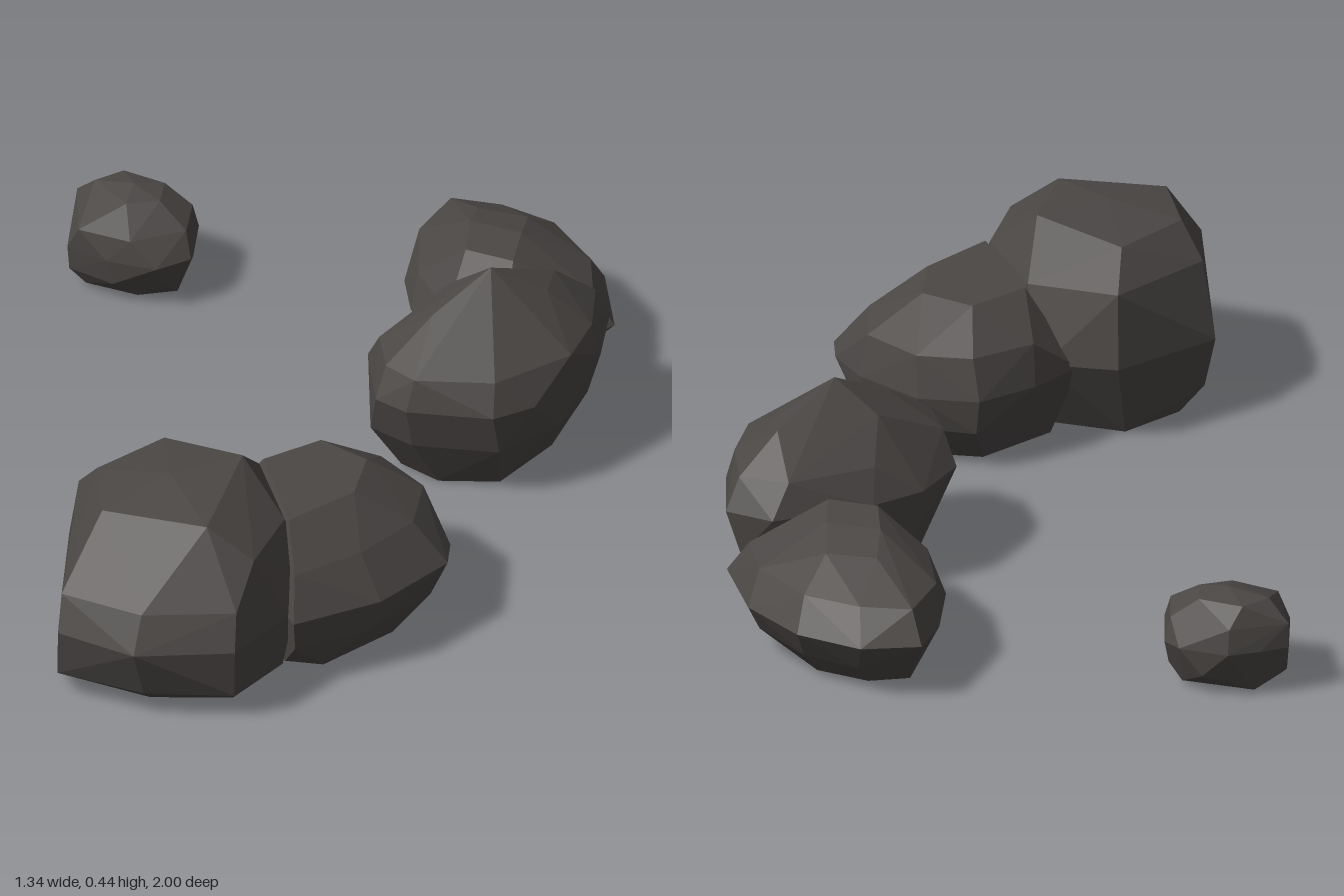
import * as THREE from 'three';
import { ConvexGeometry } from 'three/addons/geometries/ConvexGeometry.js';

const stone = new THREE.MeshStandardMaterial({ color: 0x4b4745, flatShading: true });
stone.name = 'darkStone';

// A faceted boulder: the hull of horizontal rings, each [height, x, z, x, z, ...]
function boulder(name, rings) {
  const points = [];
  for (const [y, ...xz] of rings) {
    for (let i = 0; i < xz.length; i += 2) points.push(new THREE.Vector3(xz[i], y, xz[i + 1]));
  }
  const mesh = new THREE.Mesh(new ConvexGeometry(points), stone);
  mesh.name = name;
  return mesh;
}

export function createModel() {
  const group = new THREE.Group();
  group.name = 'boulders';

  // Largest boulder, with a broad flat facet on its right
  group.add(boulder('frontBoulder', [
    [0, -0.03, 0.72, 0, 0.86, 0.2, 0.87, 0.36, 0.8, 0.38, 0.6, 0.25, 0.47, 0.05, 0.47, -0.03, 0.6],
    [0.06, 0.02, 0.95, 0.22, 0.95, 0.4, 0.88, 0.44, 0.72, -0.08, 0.62],
    [0.18, 0.035, 0.98, 0.22, 1, 0.41, 0.9, 0.45, 0.72, -0.11, 0.6, 0.04, 0.39, 0.2, 0.37, 0.4, 0.52],
    [0.26, 0.03, 0.95, 0.22, 0.96, 0.4, 0.87, 0.43, 0.66],
    [0.34, -0.07, 0.64, 0.05, 0.42, 0.25, 0.42, 0.4, 0.78, 0.39, 0.6],
    [0.41, -0.01, 0.68, 0.07, 0.83, 0.3, 0.8, 0.07, 0.51],
    [0.44, 0.16, 0.68, 0.27, 0.55],
  ]));

  // Lower boulder leaning against it
  group.add(boulder('sideBoulder', [
    [0, 0.2, 0.42, 0.3, 0.26, 0.43, 0.24, 0.54, 0.32, 0.56, 0.42, 0.48, 0.6, 0.4, 0.62],
    [0.09, 0.29, 0.18, 0.42, 0.17, 0.57, 0.24, 0.63, 0.38, 0.57, 0.57, 0.46, 0.7],
    [0.17, 0.13, 0.4, 0.19, 0.28, 0.28, 0.17, 0.41, 0.15, 0.56, 0.22, 0.64, 0.3, 0.665, 0.37, 0.6, 0.57, 0.47, 0.73],
    [0.26, 0.2, 0.3, 0.3, 0.19, 0.42, 0.17, 0.55, 0.24, 0.59, 0.38, 0.54, 0.54, 0.45, 0.68],
    [0.34, 0.33, 0.28, 0.45, 0.31, 0.48, 0.44, 0.4, 0.6, 0.25, 0.4],
  ]));

  // Peaked boulder of the rear pair
  group.add(boulder('peakedBoulder', [
    [0, 0.3, -0.2, 0.4, -0.17, 0.52, -0.22, 0.56, -0.4, 0.52, -0.54, 0.4, -0.5, 0.28, -0.35],
    [0.12, 0.26, -0.13, 0.37, -0.1, 0.55, -0.15, 0.62, -0.3, 0.62, -0.45, 0.57, -0.6, 0.45, -0.58, 0.25, -0.4],
    [0.22, 0.2, -0.25, 0.29, -0.09, 0.37, -0.07, 0.55, -0.12, 0.61, -0.2, 0.65, -0.45, 0.6, -0.61, 0.49, -0.63, 0.31, -0.49, 0.23, -0.39],
    [0.29, 0.24, -0.22, 0.3, -0.12, 0.38, -0.09, 0.54, -0.15, 0.64, -0.32, 0.63, -0.45, 0.58, -0.58, 0.47, -0.58, 0.32, -0.45],
    [0.37, 0.36, -0.23, 0.54, -0.42, 0.52, -0.5, 0.34, -0.36],
    [0.44, 0.44, -0.35],
  ]));

  // Long low boulder behind it
  group.add(boulder('rearBoulder', [
    [0, 0.12, -0.84, 0.2, -0.88, 0.32, -0.86, 0.42, -0.76, 0.42, -0.62, 0.3, -0.56, 0.18, -0.66],
    [0.06, 0.1, -0.9, 0.2, -0.95, 0.33, -0.92, 0.46, -0.82],
    [0.13, 0.055, -0.84, 0.06, -0.95, 0.18, -1, 0.33, -0.97, 0.47, -0.87, 0.57, -0.7, 0.53, -0.62, 0.42, -0.5, 0.27, -0.47, 0.15, -0.58, 0.09, -0.68],
    [0.2, 0.09, -0.92, 0.2, -0.94, 0.33, -0.92, 0.46, -0.82, 0.52, -0.7, 0.4, -0.52, 0.27, -0.5, 0.15, -0.62, 0.08, -0.78],
    [0.26, 0.2, -0.82, 0.31, -0.83],
    [0.285, 0.22, -0.73, 0.34, -0.73, 0.37, -0.62, 0.26, -0.62],
  ]));

  // Small separate rock
  group.add(boulder('smallRock', [
    [0.01, -0.63, -0.6, -0.6, -0.57, -0.48, -0.57, -0.41, -0.62, -0.44, -0.7, -0.6, -0.7],
    [0.05, -0.66, -0.66, -0.63, -0.55, -0.52, -0.53, -0.42, -0.57, -0.41, -0.7, -0.5, -0.75],
    [0.11, -0.67, -0.68, -0.63, -0.54, -0.53, -0.52, -0.42, -0.53, -0.37, -0.6, -0.41, -0.73, -0.45, -0.755, -0.56, -0.76, -0.62, -0.72],
    [0.165, -0.67, -0.68, -0.6, -0.53, -0.48, -0.53, -0.39, -0.62, -0.42, -0.72, -0.56, -0.75],
    [0.21, -0.62, -0.66, -0.52, -0.6, -0.46, -0.64, -0.48, -0.71, -0.58, -0.72],
    [0.225, -0.53, -0.66],
  ]));

  return group;
}
